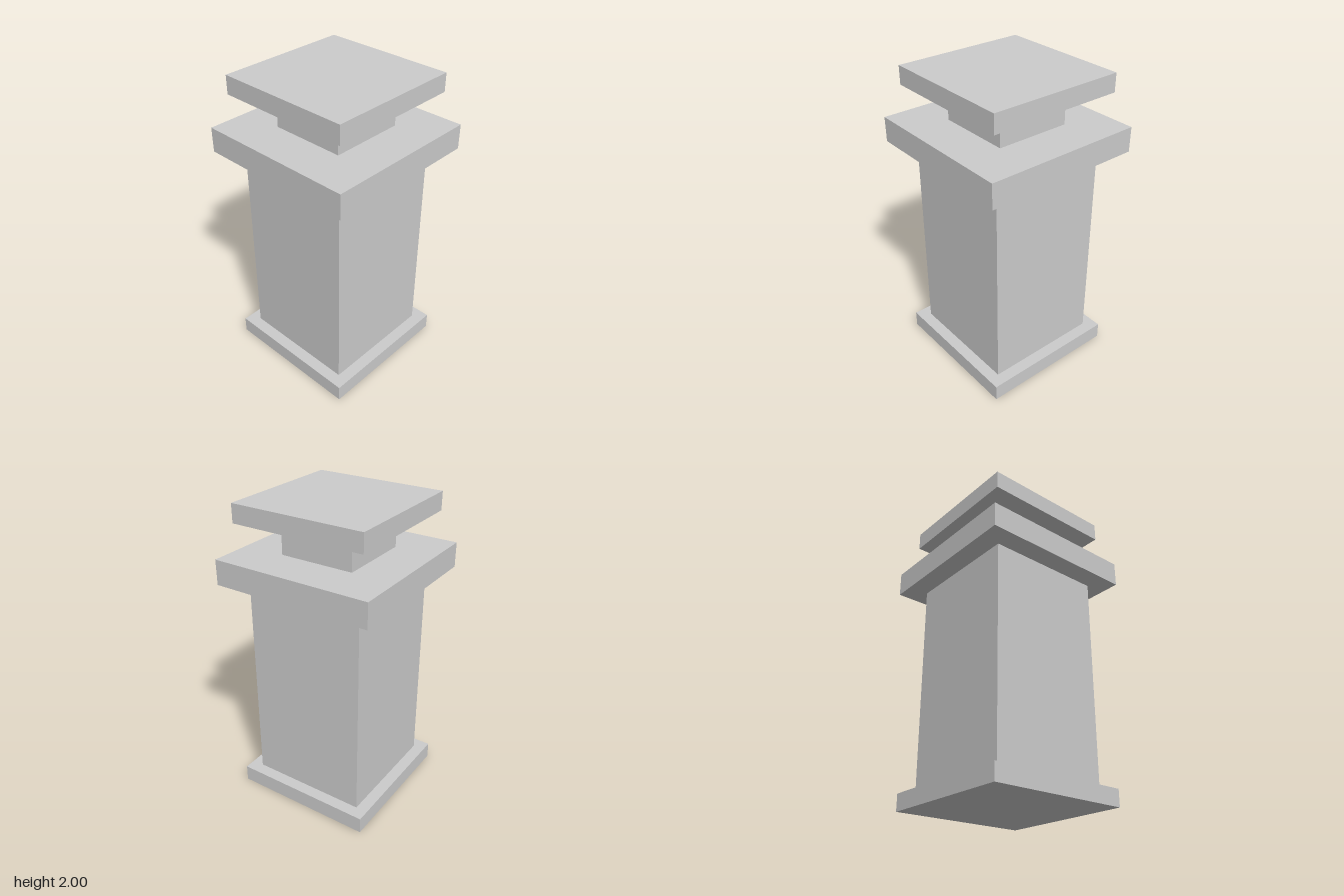
import * as THREE from 'three';

// Square tiers from bottom to top: name, width, bottom y, top y
const TIERS = [
  ['base', 0.94, 0, 0.11],
  ['shaft', 0.783, 0.11, 1.505],
  ['lowerCap', 1.054, 1.505, 1.667],
  ['neck', 0.495, 1.667, 1.88],
  ['upperCap', 0.888, 1.88, 2],
];

export function createModel() {
  const group = new THREE.Group();
  group.name = 'pillar';
  const material = new THREE.MeshStandardMaterial({ color: 0xcccccc });

  // Stack the centred blocks
  for (const [name, width, bottom, top] of TIERS) {
    const mesh = new THREE.Mesh(new THREE.BoxGeometry(width, top - bottom, width), material);
    mesh.name = name;
    mesh.position.y = (bottom + top) / 2;
    group.add(mesh);
  }
  return group;
}
